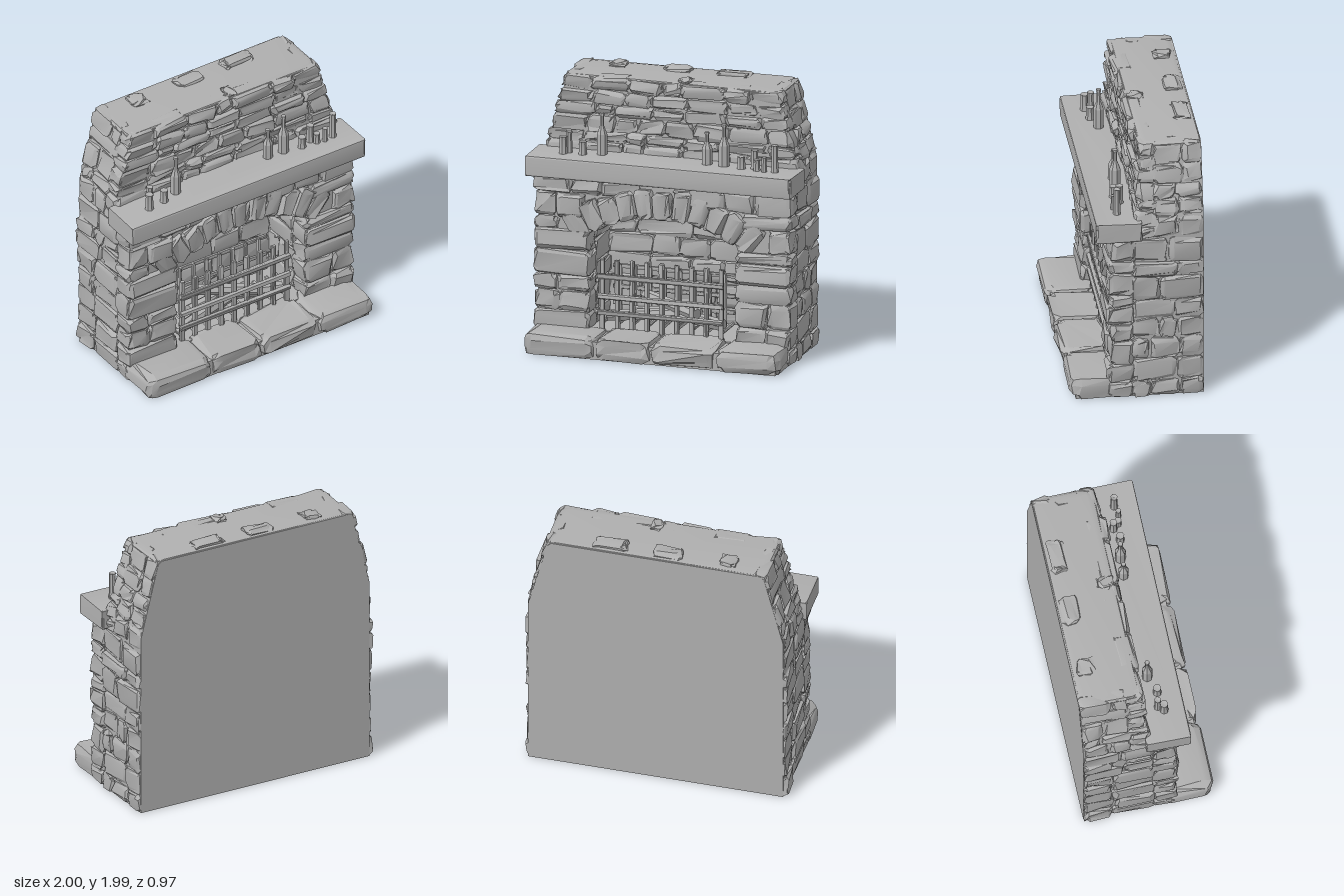
import * as THREE from 'three';
import { mergeGeometries, toCreasedNormals } from 'three/addons/utils/BufferGeometryUtils.js';

const BACK = -0.48, FRONT = 0.2, FIREBACK = -0.3, HALF = 0.96;

export function createModel() {
  const group = new THREE.Group();
  const stoneGrey = new THREE.MeshStandardMaterial({ color: 0xb0b0b0 });
  stoneGrey.name = 'stone grey';

  let seed = 11;
  const rnd = () => {
    seed = (seed * 1664525 + 1013904223) % 4294967296;
    return seed / 4294967296;
  };
  const range = (a, b) => a + (b - a) * rnd();

  const add = (name, geos) => {
    const list = [].concat(geos).map(g => (g.index ? g.toNonIndexed() : g));
    const mesh = new THREE.Mesh(list.length > 1 ? mergeGeometries(list) : list[0], stoneGrey);
    mesh.name = name;
    group.add(mesh);
    return mesh;
  };

  // The chimney narrows above the mantel
  const taper = y => (y < 1.38 ? 1 : 1 - 0.155 * (y - 1.38) / 0.59);

  // Rough block: bevelled box whose shared vertices are nudged together
  function block(x0, x1, y0, y1, z0, z1, { jitter = 0.012, bevel = 0.025, shape = null } = {}) {
    const g = new THREE.BoxGeometry(2, 2, 2, 3, 3, 3);
    const p = g.attributes.position, moved = new Map(), v = new THREE.Vector3();
    const c = [(x0 + x1) / 2, (y0 + y1) / 2, (z0 + z1) / 2];
    const h = [(x1 - x0) / 2, (y1 - y0) / 2, (z1 - z0) / 2];
    for (let i = 0; i < p.count; i++) {
      v.fromBufferAttribute(p, i);
      const key = v.toArray().map(n => Math.round(n * 3)).join();
      if (!moved.has(key)) {
        const a = v.toArray();
        const outer = a.filter(n => Math.abs(n) > 0.9).length;
        moved.set(key, a.map((n, k) => {
          const b = Math.min(bevel, h[k] * 0.45);
          const size = Math.abs(n) > 0.9 ? h[k] - (outer - 1) * b * 0.3 : h[k] - b * 1.3;
          return c[k] + Math.sign(n) * size + range(-1, 1) * Math.min(jitter, h[k] * 0.4);
        }));
      }
      v.fromArray(moved.get(key));
      if (shape) shape(v);
      v.y = Math.max(v.y, 0);
      v.z = Math.max(v.z, BACK + 0.002);
      p.setXYZ(i, v.x, v.y, v.z);
    }
    return toCreasedNormals(g, 0.45);
  }
  const tapered = { shape: v => { v.x *= taper(v.y); } };

  // Uneven courses of masonry; span(y) gives the start and end of each course
  function courses(y0, y1, rowH, stoneW, span, place) {
    const rows = Math.max(1, Math.round((y1 - y0) / rowH));
    const cuts = Array.from({ length: rows + 1 }, (_, i) =>
      y0 + (y1 - y0) * (i + (i && i < rows ? range(-0.22, 0.22) : 0)) / rows);
    for (let r = 0; r < rows; r++) {
      const [a, b] = span((cuts[r] + cuts[r + 1]) / 2);
      const n = Math.max(1, Math.round((b - a) / stoneW + range(-0.45, 0.45)));
      const xs = Array.from({ length: n + 1 }, (_, i) =>
        a + (b - a) * (i + (i && i < n ? range(-0.27, 0.27) : 0)) / n);
      for (let i = 0; i < n; i++) place(xs[i], xs[i + 1], cuts[r], cuts[r + 1]);
    }
  }

  // Arch circle over the fireplace opening
  const R = 1.05, CY = -0.03, OPEN = 0.57;
  const spring = CY + Math.sqrt(R * R - OPEN * OPEN), half = Math.asin(OPEN / R);

  // Solid cores behind the stones
  const extrude = (shape, z0, z1) => new THREE.ExtrudeGeometry(shape,
    { depth: z1 - z0, bevelEnabled: false, curveSegments: 12 }).translate(0, 0, z0);
  const polygon = pts => new THREE.Shape(pts.map(p => new THREE.Vector2(...p)));
  const W = HALF - 0.02, T = W * taper(1.95);
  const outline = [[-W, 0], [W, 0], [W, 1.38], [T, 1.93], [T - 0.03, 1.955], [-T + 0.03, 1.955], [-T, 1.93], [-W, 1.38]];
  const lower = polygon([[-W, 0], [W, 0], [W, 1.27], [-W, 1.27]]);
  const hole = new THREE.Path();
  hole.moveTo(-OPEN, 0.14).lineTo(OPEN, 0.14).lineTo(OPEN, spring);
  hole.absarc(0, CY, R, Math.PI / 2 - half, Math.PI / 2 + half, false);
  hole.lineTo(-OPEN, 0.14);
  lower.holes.push(hole);
  add('backWall', extrude(polygon(outline), BACK, FIREBACK));
  add('surroundCore', extrude(lower, FIREBACK, FRONT - 0.035));
  add('chimneyCore', extrude(polygon([[-W, 1.25], [W, 1.25], ...outline.slice(2)]), FIREBACK, -0.03));

  // Stones either side of the opening and out to the corners
  for (const s of [-1, 1]) {
    const stones = [];
    const inner = y => {
      if (y < 0.88) return OPEN - 0.02;
      return Math.sqrt(Math.max(0.03, 1.23 * 1.23 - (y - CY) ** 2));
    };
    courses(0.0, 1.27, 0.135, 0.24, y => [inner(y), HALF + 0.005], (a, b, y0, y1) => {
      const [x0, x1] = s > 0 ? [a, b] : [-b, -a];
      stones.push(block(x0, x1, y0, y1, 0.02, FRONT + range(-0.01, 0.015)));
    });
    add(s > 0 ? 'leftPierStones' : 'rightPierStones', stones);

    // Side walls of the pier and the chimney
    const sides = [];
    const sideStone = (z0, z1, y0, y1) => {
      const out = HALF + range(-0.012, 0.012);
      sides.push(block(s > 0 ? 0.84 : -out, s > 0 ? out : -0.84, y0, y1, z0, z1, tapered));
    };
    courses(0, 1.27, 0.15, 0.22, () => [BACK, 0.04], sideStone);
    courses(1.27, 1.96, 0.14, 0.19, () => [BACK, -0.12], sideStone);
    add(s > 0 ? 'leftSideStones' : 'rightSideStones', sides);

    // Lining of the firebox
    const lining = [];
    courses(0.14, 0.9, 0.15, 0.25, () => [FIREBACK, 0.03], (z0, z1, y0, y1) =>
      lining.push(block(s > 0 ? OPEN - 0.02 : -OPEN - 0.06, s > 0 ? OPEN + 0.06 : -OPEN + 0.02, y0, y1, z0, z1)));
    add(s > 0 ? 'leftFireboxLining' : 'rightFireboxLining', lining);
  }

  // Back of the firebox
  const fireback = [];
  courses(0.14, 1.04, 0.15, 0.3, () => [-OPEN, OPEN], (x0, x1, y0, y1) =>
    fireback.push(block(x0, x1, y0, y1, FIREBACK - 0.06, FIREBACK + range(0.02, 0.04))));
  add('fireboxBack', fireback);

  // Fan of wedge stones forming the arch
  const arch = [], count = 11;
  for (let i = 0; i < count; i++) {
    const mid = (i - (count - 1) / 2) / count * 1.32;
    const w = 0.062 * range(0.9, 1.1);
    arch.push(block(-w, w, R - 0.01, R + range(0.19, 0.225), -0.02, FRONT + range(0.005, 0.025), {
      shape: v => {
        const a = mid + v.x / R, r = v.y;
        v.x = Math.sin(a) * r;
        v.y = Math.min(CY + Math.cos(a) * r, 1.27);
      },
    }));
  }
  add('archStones', arch);

  // Chimney face and cap
  const face = [];
  courses(1.27, 1.96, 0.1, 0.27, () => [-HALF, HALF], (x0, x1, y0, y1) =>
    face.push(block(x0, x1, y0, y1, -0.15, range(-0.02, 0.015), tapered)));
  add('chimneyStones', face);
  add('capStones', [
    block(-0.81, 0.81, 1.9, 1.965, BACK, -0.03, { jitter: 0.006, bevel: 0.04 }),
    ...[[-0.51, -0.37, 0.06], [-0.07, -0.39, 0.1], [0.35, -0.39, 0.12], [0.08, -0.1, 0.04]].map(([x, z, w]) =>
      block(x - w, x + w, 1.94, 1.985, z - 0.06, z + 0.06, { jitter: 0.015 })),
  ]);

  // Hearth of four broad slabs
  const cuts = [-0.96, -0.42, 0.0, 0.48, 0.95];
  add('hearthStones', cuts.slice(1).map((x1, i) =>
    block(cuts[i], x1, 0, 0.16, 0.1, 0.475, { bevel: 0.05, jitter: 0.014 })));
  add('hearthCore', new THREE.BoxGeometry(1.86, 0.13, 0.34).translate(0, 0.065, 0.27));

  // Mantel shelf
  add('mantel', block(-1, 1, 1.27, 1.425, -0.03, 0.3, { jitter: 0.004, bevel: 0.012 }));

  // Fire grate with upright and level bars, and a rear rack
  const grate = [], opt = { jitter: 0.004, bevel: 0.006 };
  for (let i = 0; i < 9; i++) {
    const x = -0.47 + i * 0.112;
    grate.push(block(x - 0.017, x + 0.017, 0.13, 0.665, 0.12, 0.15, opt));
    if (i < 8) grate.push(block(x + 0.035, x + 0.06, 0.13, 0.56, -0.14, -0.115, opt));
    grate.push(block(x - 0.012, x + 0.012, 0.18, 0.205, -0.13, 0.13, opt));
  }
  for (const y of [0.27, 0.39, 0.54]) {
    grate.push(block(-0.5, 0.445, y - 0.018, y + 0.018, 0.14, 0.17, opt));
    grate.push(block(-0.48, 0.44, y - 0.015, y + 0.015, -0.15, -0.13, opt));
  }
  add('fireGrate', grate);

  // Logs on the grate
  const logs = [[-0.2, 0.25, 0.05, 0.1], [0.18, 0.25, 0.02, -0.12], [-0.05, 0.25, -0.06, 0.05], [0, 0.33, 0, -0.2]];
  add('logs', logs.map(([x, y, z, turn]) => toCreasedNormals(
    new THREE.CylinderGeometry(0.04, 0.045, 0.5, 7).rotateZ(Math.PI / 2 + turn * 0.6).rotateY(turn * 2).translate(x, y, z), 0.3)));

  // Bottles and candles on the shelf: x, z, top, radius
  const lathe = (profile, x, z) => toCreasedNormals(new THREE.LatheGeometry(
    profile.map(p => new THREE.Vector2(...p)), 7).translate(x, 1.42, z), 0.3);
  const bottles = [[-0.49, 0.085, 1.73, 0.038], [0.3, 0.085, 1.66, 0.038], [0.43, 0.09, 1.73, 0.04]];
  add('bottles', bottles.map(([x, z, top, r]) => {
    const h = top - 1.42;
    return lathe([[0, 0], [r, 0], [r, h * 0.5], [r * 0.4, h * 0.7], [r * 0.35, h * 0.93],
      [r * 0.5, h * 0.94], [r * 0.45, h], [0, h]], x, z);
  }));
  const candles = [[-0.76, 0.15, 1.55, 0.03], [-0.73, 0.11, 1.58, 0.025], [-0.62, 0.13, 1.52, 0.03], [0.57, 0.12, 1.51, 0.03],
    [0.66, 0.09, 1.56, 0.028], [0.69, 0.13, 1.5, 0.025], [0.75, 0.145, 1.53, 0.02], [0.825, 0.13, 1.62, 0.026]];
  add('candles', candles.map(([x, z, top, r]) => {
    const h = top - 1.42;
    return lathe([[0, 0], [r * 1.1, 0], [r, h * 0.2], [r * 0.9, h * 0.85], [r, h], [0, h * 0.95]], x, z);
  }));

  return group;
}
